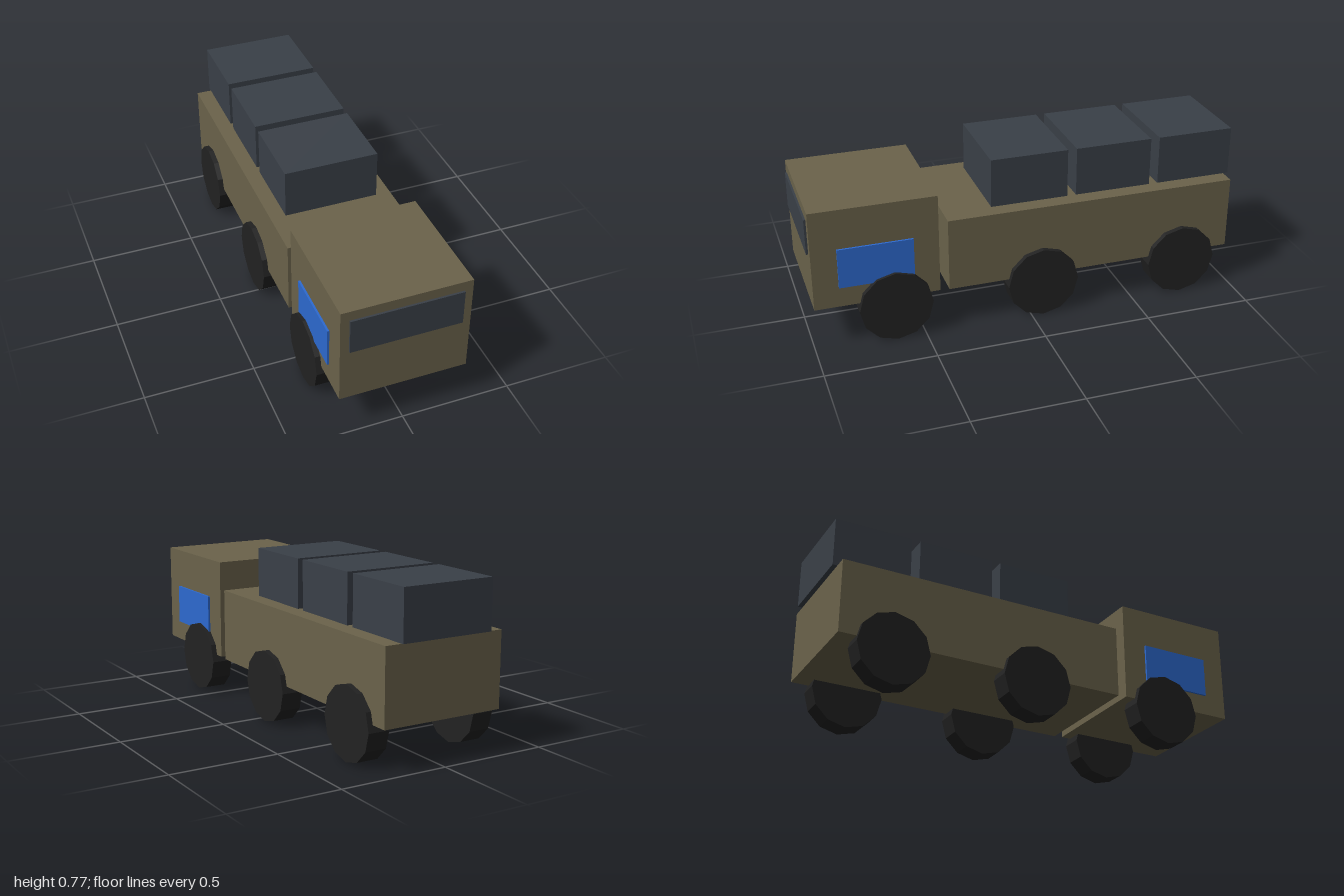
import * as THREE from 'three';

const paint = (name, color) => {
  const m = new THREE.MeshStandardMaterial({ color });
  m.name = name;
  return m;
};

export function createModel() {
  const truck = new THREE.Group();
  truck.name = 'cargoTruck';

  const olive = paint('olive', 0x6b634b);
  const slate = paint('slate', 0x3a4048);
  const blue = paint('blue', 0x2d6ad0);
  const rubber = paint('rubber', 0x222222);

  const add = (name, geometry, material) => {
    const mesh = new THREE.Mesh(geometry, material);
    mesh.name = name;
    truck.add(mesh);
    return mesh;
  };

  // Box given by its lower and upper limits on each axis
  const box = (name, material, [x0, x1], [y0, y1], [z0, z1]) => {
    const mesh = add(name, new THREE.BoxGeometry(x1 - x0, y1 - y0, z1 - z0), material);
    mesh.position.set((x0 + x1) / 2, (y0 + y1) / 2, (z0 + z1) / 2);
  };

  // Cab, windshield and cargo bed
  box('cab', olive, [-0.289, 0.289], [0.2, 0.667], [0.425, 0.99]);
  box('windshield', slate, [-0.25, 0.25], [0.457, 0.622], [0.9905, 1.0]);
  box('cargoBed', olive, [-0.289, 0.289], [0.197, 0.537], [-0.98, 0.383]);

  // Three crates in a row on the bed
  [-0.82, -0.418, -0.016].forEach((z, i) =>
    box(`crate${i + 1}`, slate, [-0.219, 0.219], [0.54, 0.766], [z - 0.18, z + 0.18]));

  // Twelve-sided wheels on three axles, and a door panel on each side
  const wheelShape = new THREE.CylinderGeometry(0.1665, 0.1665, 0.1, 12).toNonIndexed();
  wheelShape.rotateZ(Math.PI / 2);
  wheelShape.computeVertexNormals();
  for (const [side, s] of [['left', 1], ['right', -1]]) {
    box(`${side}DoorPanel`, blue, s > 0 ? [0.2895, 0.299] : [-0.299, -0.2895],
      [0.296, 0.482], [0.54, 0.877]);
    [0.63, -0.055, -0.74].forEach((z, i) => {
      const wheel = add(`${side}Wheel${i + 1}`, wheelShape, rubber);
      wheel.position.set(s * 0.264, 0.1665, z);
    });
  }

  return truck;
}
